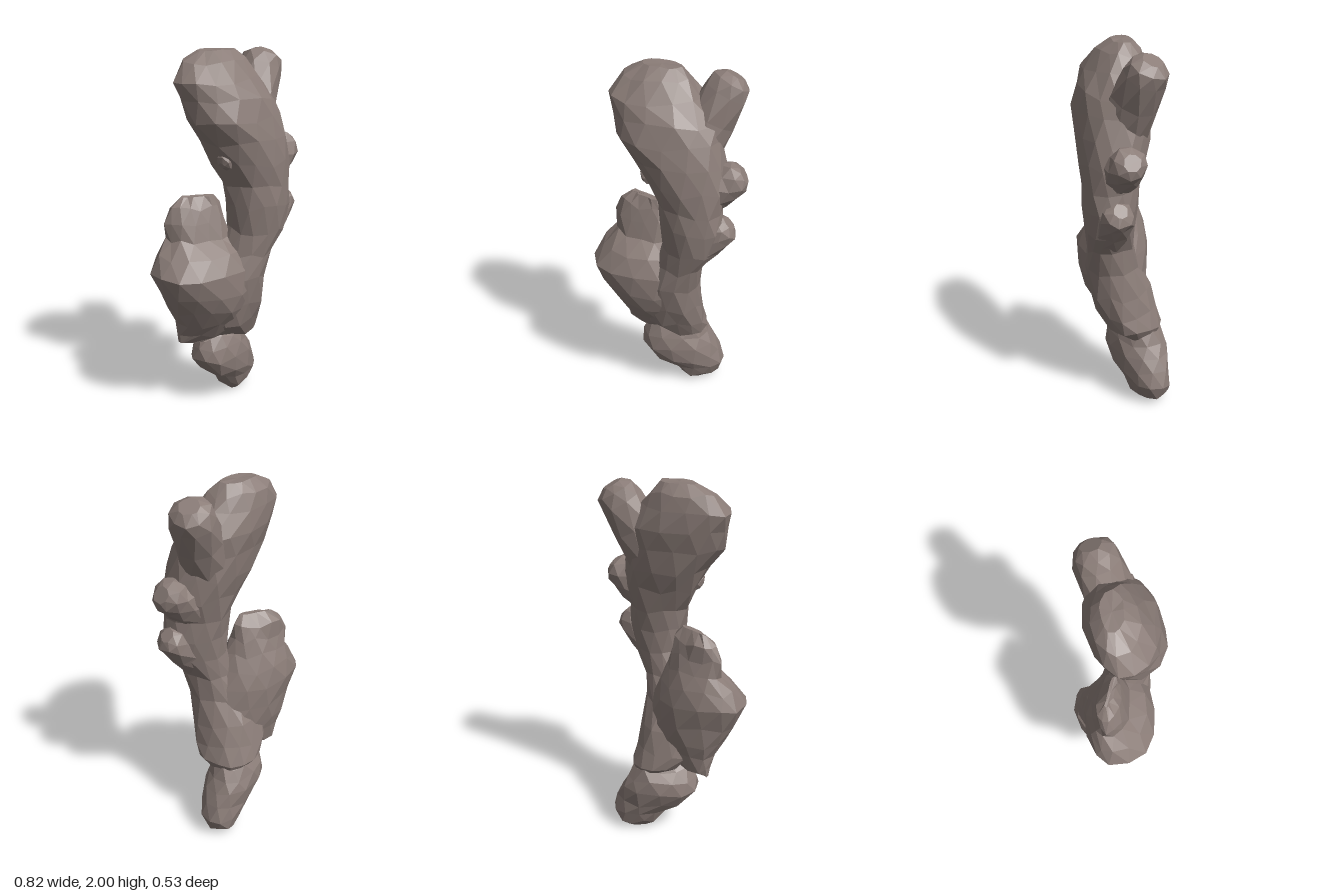
import * as THREE from 'three';

const material = new THREE.MeshStandardMaterial({ color: 0x8b7d78, flatShading: true });
material.name = 'greyish brown';

// Small seeded generator for the uneven surface
let seed = 7;
const jitter = (amount) => {
  seed = (seed * 16807) % 2147483647;
  return (seed / 2147483647 - 0.5) * 2 * amount;
};

// Closed surface through staggered rings of points, lowest ring first
function skin(name, rings) {
  const n = rings[0].length, points = rings.flat(), index = [];
  const middle = (ring) => ring.reduce((s, p) => s.add(p), new THREE.Vector3()).divideScalar(n);
  const last = (rings.length - 1) * n;
  const bottom = points.push(middle(rings[0])) - 1;
  const top = points.push(middle(rings[rings.length - 1])) - 1;
  for (let j = 0; j < n; j++) {
    const k = (j + 1) % n;
    for (let i = 0; i < last; i += n) {
      const a = i + j, b = i + k, c = a + n, d = b + n;
      if ((i / n) % 2) index.push(a, c, d, a, d, b);
      else index.push(a, c, b, b, c, d);
    }
    index.push(bottom, j, k, top, last + k, last + j);
  }
  const geometry = new THREE.BufferGeometry().setFromPoints(points);
  geometry.setIndex(index);
  geometry.computeVertexNormals();
  const mesh = new THREE.Mesh(geometry, material);
  mesh.name = name;
  return mesh;
}

// Upright body; each section is [y, xMin, xMax, zMin, zMax].
// A positive lean moves its +x side forward and its -x side back.
function body(name, lean, sides, sections) {
  return skin(name, sections.map(([y, x0, x1, z0, z1], i) => {
    const end = i === 0 || i === sections.length - 1;
    const depth = Math.sqrt(Math.max(((z1 - z0) / 2) ** 2 - lean ** 2, 0.0005));
    return Array.from({ length: sides }, (_, j) => {
      const a = ((j + (i % 2) * 0.5) / sides) * Math.PI * 2;
      const bulge = (v) => Math.sign(v) * Math.abs(v) ** 0.92;
      return new THREE.Vector3(
        (x0 + x1) / 2 + (x1 - x0) / 2 * bulge(Math.cos(a)) + jitter(0.007),
        y + jitter(end ? 0.004 : 0.018),
        (z0 + z1) / 2 + depth * bulge(Math.sin(a)) + lean * Math.cos(a) + jitter(0.007));
    });
  }));
}

// Blunt side shoot from a root point to a tip point
function knob(name, from, to, r0, r1, sides = 8) {
  const start = new THREE.Vector3(...from), axis = new THREE.Vector3(...to).sub(start);
  const turn = new THREE.Quaternion().setFromUnitVectors(new THREE.Vector3(0, 1, 0), axis.clone().normalize());
  const length = axis.length();
  const profile = [[0, r0], [0.4, (r0 + r1) / 2], [1 - r1 / length * 0.85, r1], [1 - r1 / length * 0.3, r1 * 0.87], [1, r1 * 0.45]];
  return skin(name, profile.map(([t, r], i) => Array.from({ length: sides }, (_, j) => {
    const a = ((j + (i % 2) * 0.5) / sides) * Math.PI * 2;
    return new THREE.Vector3(Math.cos(a) * r + jitter(0.006), t * length, Math.sin(a) * r + jitter(0.006))
      .applyQuaternion(turn).add(start);
  })));
}

export function createModel() {
  const group = new THREE.Group();
  group.name = 'gnarledRoot';
  group.add(
    // Long curved trunk with a swollen head
    body('trunk', 0.025, 13, [
      [0.36, 0.09, 0.20, -0.17, -0.02],
      [0.43, -0.05, 0.235, -0.23, 0.09],
      [0.52, -0.13, 0.215, -0.215, 0.14],
      [0.64, -0.15, 0.20, -0.185, 0.17],
      [0.78, -0.13, 0.18, -0.12, 0.19],
      [0.92, -0.05, 0.20, -0.06, 0.21],
      [1.05, -0.02, 0.265, -0.035, 0.25],
      [1.18, -0.03, 0.29, -0.04, 0.265],
      [1.30, -0.045, 0.285, -0.055, 0.265],
      [1.42, -0.11, 0.31, -0.09, 0.26],
      [1.54, -0.17, 0.305, -0.12, 0.25],
      [1.65, -0.25, 0.28, -0.15, 0.23],
      [1.76, -0.27, 0.27, -0.17, 0.195],
      [1.86, -0.295, 0.18, -0.17, 0.14],
      [1.94, -0.22, 0.125, -0.155, 0.08],
      [1.995, -0.12, 0.07, -0.11, 0.02],
    ]),
    // Broad lobe behind and beside the trunk, blending into it
    body('sideLobe', 0.055, 13, [
      [0.40, -0.215, -0.11, -0.15, -0.05],
      [0.45, -0.225, 0.05, -0.19, 0.03],
      [0.53, -0.25, 0.13, -0.21, 0.10],
      [0.62, -0.30, 0.15, -0.225, 0.145],
      [0.73, -0.355, 0.15, -0.24, 0.17],
      [0.84, -0.41, 0.12, -0.265, 0.16],
      [0.94, -0.35, 0.08, -0.25, 0.11],
      [1.02, -0.285, 0.04, -0.215, 0.03],
      [1.11, -0.285, 0.01, -0.205, -0.005],
      [1.18, -0.25, -0.01, -0.195, -0.02],
      [1.235, -0.19, -0.05, -0.145, -0.04],
    ]),
    // Lower stub, slanting to the left
    body('foot', -0.015, 11, [
      [0.005, 0.13, 0.25, -0.14, -0.05],
      [0.05, 0.08, 0.31, -0.19, -0.01],
      [0.12, 0.04, 0.335, -0.205, 0.02],
      [0.19, -0.07, 0.315, -0.215, 0.045],
      [0.27, -0.15, 0.285, -0.235, 0.05],
      [0.35, -0.135, 0.25, -0.23, 0.045],
      [0.41, -0.09, 0.21, -0.20, 0.02],
      [0.46, -0.03, 0.15, -0.16, -0.02],
    ]),
    // Row of shoots on the left edge
    knob('topShoot', [0.14, 1.60, 0.04], [0.335, 1.955, -0.01], 0.14, 0.115, 9),
    knob('middleShoot', [0.17, 1.36, 0.10], [0.39, 1.485, 0.13], 0.13, 0.10),
    knob('lowerShoot', [0.13, 1.02, 0.125], [0.325, 1.215, 0.16], 0.11, 0.09),
    // Small bump on the right edge of the trunk
    knob('smallBump', [0.0, 1.50, 0.08], [-0.12, 1.425, 0.07], 0.08, 0.05, 7),
  );
  return group;
}
